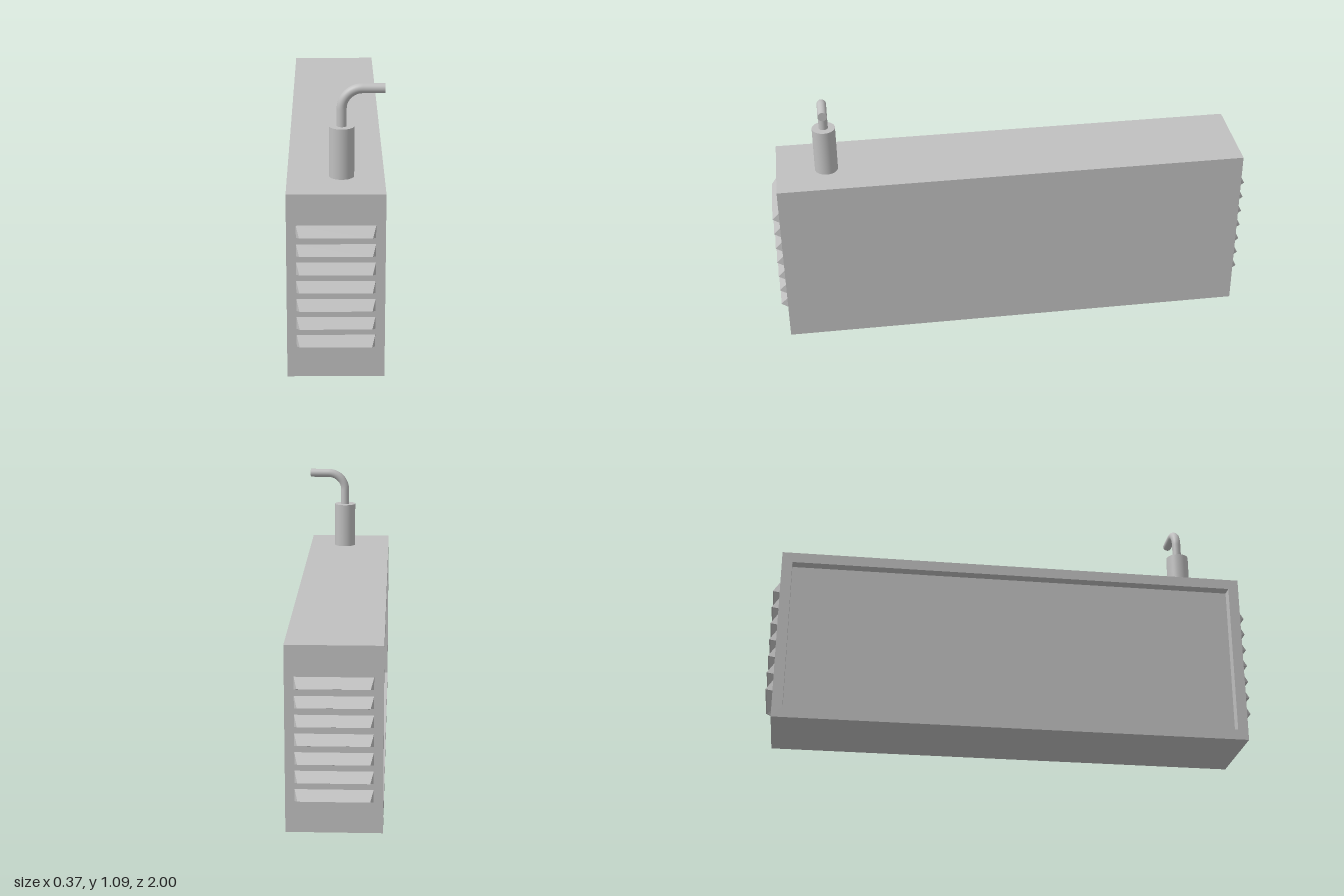
import * as THREE from 'three';

const grey = new THREE.MeshStandardMaterial({ color: 0xc0c0c0 });
grey.name = 'plain grey';

// Flat-shaded skin over successive four-cornered loops.
function loft(loops) {
  const pos = [];
  const tri = (a, b, c) => {
    const n = new THREE.Vector3().subVectors(b, a).cross(new THREE.Vector3().subVectors(c, a));
    if (n.length() > 1e-9) for (const p of [a, b, c]) pos.push(p.x, p.y, p.z);
  };
  const v = loops.map(l => l.map(p => new THREE.Vector3(...p)));
  for (let k = 0; k < v.length - 1; k++) {
    for (let j = 0; j < 4; j++) {
      const i = (j + 1) % 4;
      const [a, b, c, d] = [v[k][j], v[k][i], v[k + 1][i], v[k + 1][j]];
      tri(a, c, b);
      tri(a, d, c);
    }
  }
  const g = new THREE.BufferGeometry();
  g.setAttribute('position', new THREE.Float32BufferAttribute(pos, 3));
  g.computeVertexNormals();
  return g;
}

function part(name, geometry) {
  const m = new THREE.Mesh(geometry, grey);
  m.name = name;
  return m;
}

const W = 0.183, H = 0.73, D = 0.97; // half width, height, half length

// Casing with a shallow recess in its -x side.
function casing() {
  const rect = (x, hz, hy) => [
    [x, H / 2 + hy, -hz], [x, H / 2 + hy, hz], [x, H / 2 - hy, hz], [x, H / 2 - hy, -hz]];
  const border = 0.043, floor = -W + 0.045;
  return loft([
    rect(W, 0, 0), rect(W, D, H / 2), rect(-W, D, H / 2),
    rect(-W, D - border, H / 2 - border), rect(floor, D - border, H / 2 - border), rect(floor, 0, 0)]);
}

// Hollow hood, open at its lower edge, tapering towards the tip.
function louvre() {
  const w = 0.147, tip = 0.135, t = 0.005;
  const ridge = (x, y, z) => [[-x, y, z], [x, y, z], [x, y, z], [-x, y, z]];
  const mouth = (xt, yt, zt, xb, yb, zb) => [[-xt, yt, zt], [xt, yt, zt], [xb, yb, zb], [-xb, yb, zb]];
  return loft([
    ridge(w, 0.048, D), mouth(tip, 0.01, 1, w, 0, D),
    mouth(tip - t, 0.008, 1 - t, w - t, 0.0005, D + 0.001), ridge(w - t, 0.04, D + 0.001)]);
}

// Pipe that rises, bends a quarter turn and runs out to +x.
function pipePath(x, z) {
  const p = (a, b) => new THREE.Vector3(a, b, z);
  const top = 1.071, r = 0.078, k = r * 0.5523;
  const path = new THREE.CurvePath();
  path.add(new THREE.LineCurve3(p(x, 0.9), p(x, top - r)));
  path.add(new THREE.CubicBezierCurve3(
    p(x, top - r), p(x, top - r + k), p(x + r - k, top), p(x + r, top)));
  path.add(new THREE.LineCurve3(p(x + r, top), p(W, top)));
  return path;
}

export function createModel() {
  const model = new THREE.Group();
  model.name = 'ventilatedCasing';
  model.add(part('casing', casing()));

  // Seven louvres on each end
  const hood = louvre();
  for (const [name, turn] of [['frontLouvres', 0], ['backLouvres', Math.PI]]) {
    const set = new THREE.Group();
    set.name = name;
    set.rotation.y = turn;
    for (let i = 0; i < 7; i++) {
      const m = part('louvre', hood);
      m.position.y = 0.124 + i * 0.0729;
      set.add(m);
    }
    model.add(set);
  }

  // Collar and bent pipe on the roof
  const px = 0.022, pz = 0.763, r = 0.0187;
  const collar = part('pipeCollar', new THREE.CylinderGeometry(0.0475, 0.0475, 0.197, 48));
  collar.position.set(px, H + 0.0975, pz);
  model.add(collar);
  model.add(part('pipe', new THREE.TubeGeometry(pipePath(px, pz), 64, r, 32)));
  const cap = part('pipeEnd', new THREE.CircleGeometry(r, 32));
  cap.rotation.y = Math.PI / 2;
  cap.position.set(W, 1.071, pz);
  model.add(cap);
  return model;
}
